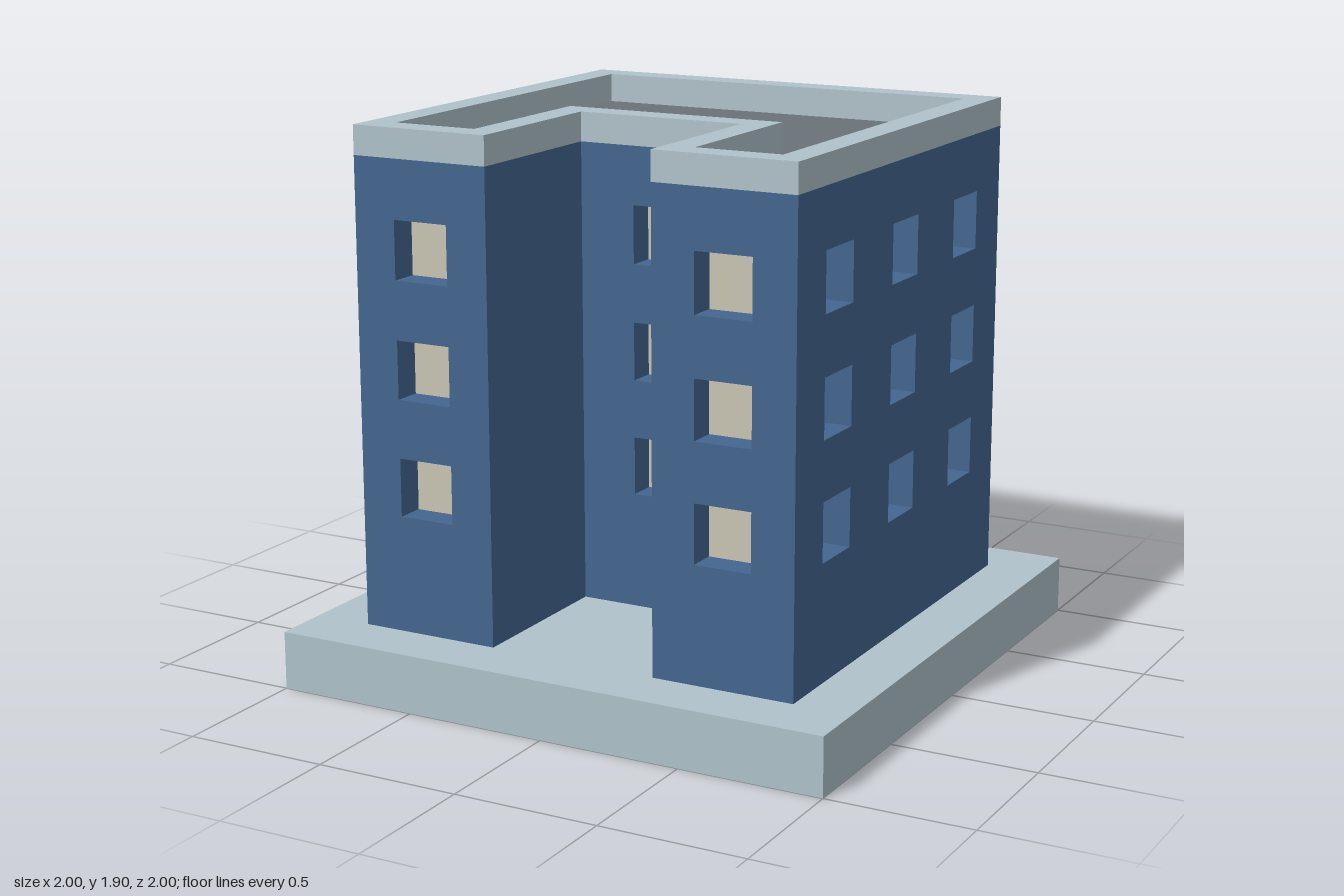
import * as THREE from 'three';

const material = (name, color, side = THREE.FrontSide) => {
  const m = new THREE.MeshStandardMaterial({ color, side });
  m.name = name;
  return m;
};

const stone = material('paleStone', 0xafc2ca, THREE.DoubleSide);
const blue = material('blueWall', 0x43668f, THREE.DoubleSide);
const cream = material('creamPane', 0xc9c5b4);
const grey = material('greyRoof', 0x6a7178);

const GROUND = 0.2, EAVES = 1.8, PARAPET = 0.1;
const WINDOW = 0.2, RECESS = 0.1;
const FLOORS = [0.7, 1.1, 1.5];

function add(parent, name, geometry, mat, x = 0, y = 0, z = 0) {
  const mesh = new THREE.Mesh(geometry, mat);
  mesh.name = name;
  mesh.position.set(x, y, z);
  parent.add(mesh);
  return mesh;
}

// Box without some faces (0 +x, 1 -x, 2 +y, 3 -y, 4 +z, 5 -z)
function openBox(w, h, d, missing) {
  const g = new THREE.BoxGeometry(w, h, d);
  const kept = Array.from(g.index.array).filter((_, i) => !missing.includes(Math.floor(i / 6)));
  g.setIndex(kept);
  g.clearGroups();
  return g;
}

const rectangle = (x0, y0, x1, y1) => [[x0, y0], [x1, y0], [x1, y1], [x0, y1]]
  .map(([x, y]) => new THREE.Vector2(x, y));

// U-shaped plan, drawn with y = -z and pulled inwards by t
function plan(t) {
  const o = 0.8 - t, c = 0.3 + t, b = 0.2 - t;
  return [[-o, -o], [o, -o], [o, o], [c, o], [c, b], [-c, b], [-c, o], [-o, o]]
    .map(([x, z]) => new THREE.Vector2(x, -z));
}

// Wall facing +z before turning, with a recessed window on each floor per column
function addWall(parent, name, width, columns, x, z, angle = 0) {
  const wall = new THREE.Group();
  wall.name = name;
  const face = new THREE.Shape(rectangle(-width / 2, GROUND, width / 2, EAVES));
  const r = WINDOW / 2;
  for (const cx of columns) {
    for (const cy of FLOORS) {
      face.holes.push(new THREE.Path(rectangle(cx - r, cy - r, cx + r, cy + r)));
      add(wall, 'windowReveal', openBox(WINDOW, WINDOW, RECESS, [4, 5]), blue, cx, cy, -RECESS / 2);
      add(wall, 'windowPane', new THREE.PlaneGeometry(WINDOW, WINDOW), cream, cx, cy, -RECESS);
    }
  }
  add(wall, 'wallFace', new THREE.ShapeGeometry(face), blue);
  wall.position.set(x, 0, z);
  wall.rotation.y = angle;
  parent.add(wall);
}

export function createModel() {
  const model = new THREE.Group();
  model.name = 'apartmentBlock';

  // Plinth, hollow and open underneath
  add(model, 'plinth', openBox(2, GROUND, 2, [3]), stone, 0, GROUND / 2, 0);

  // Outer walls
  const three = [-0.5, 0, 0.5], quarter = Math.PI / 2;
  addWall(model, 'backWall', 1.6, three, 0, -0.8, Math.PI);
  addWall(model, 'courtyardBackWall', 0.6, [0], 0, 0.2);
  for (const [side, s] of [['left', 1], ['right', -1]]) {
    addWall(model, side + 'Wall', 1.6, three, 0.8 * s, 0, quarter * s);
    addWall(model, side + 'WingFront', 0.5, [0], 0.55 * s, 0.8);
    addWall(model, side + 'CourtyardWall', 0.6, [], 0.3 * s, 0.5, -quarter * s);
  }

  // Flat roof inside the parapet
  const roof = new THREE.ShapeGeometry(new THREE.Shape(plan(PARAPET)));
  add(model, 'roof', roof.rotateX(-quarter), grey, 0, EAVES, 0);

  // Parapet following the plan
  const rim = new THREE.Shape(plan(0));
  rim.holes.push(new THREE.Path(plan(PARAPET)));
  const parapet = new THREE.ExtrudeGeometry(rim, { depth: PARAPET, bevelEnabled: false });
  add(model, 'parapet', parapet.rotateX(-quarter), stone, 0, EAVES, 0);

  return model;
}
